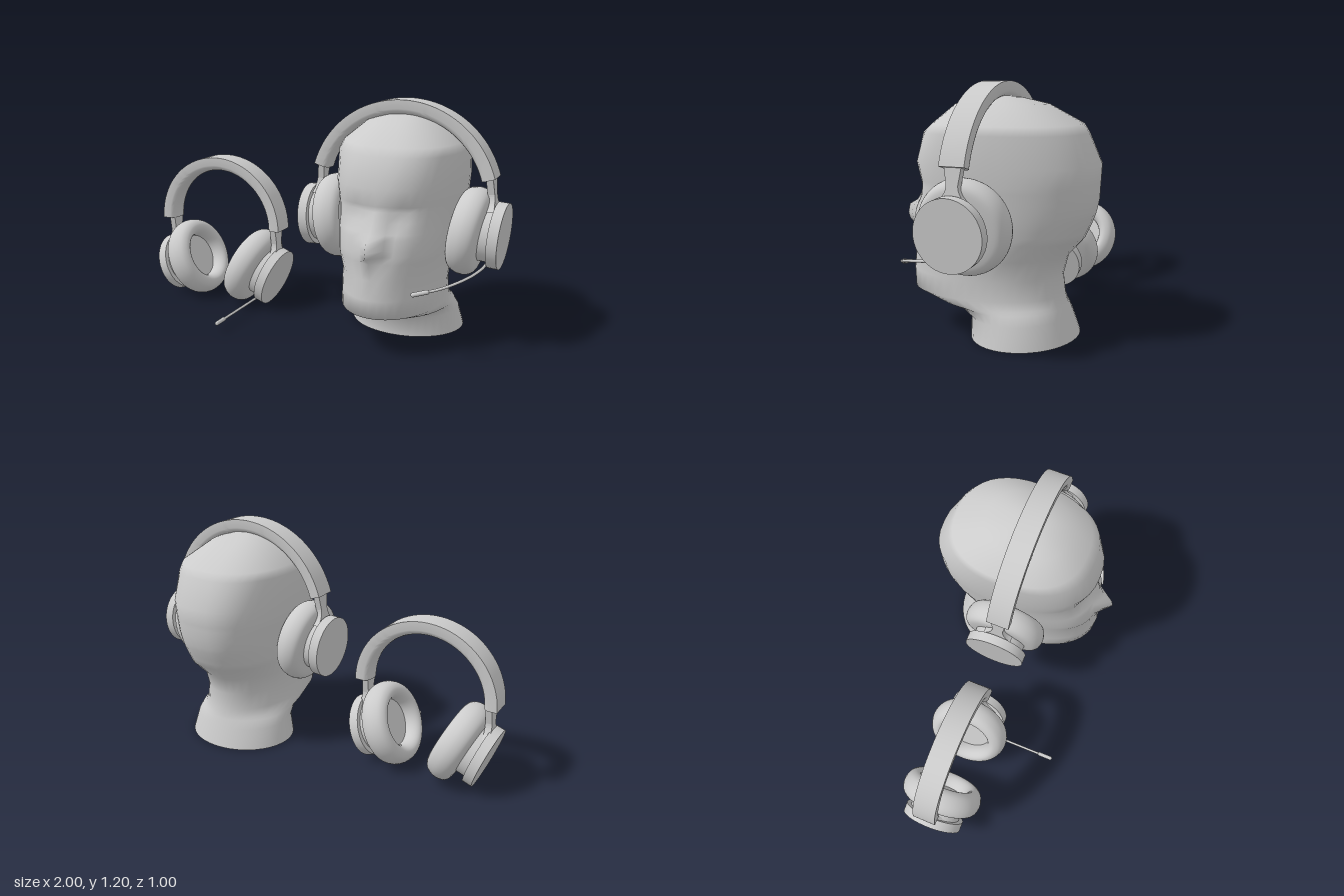
import * as THREE from 'three';
import { toCreasedNormals } from 'three/addons/utils/BufferGeometryUtils.js';

const grey = new THREE.MeshStandardMaterial({ color: 0xcccccc, side: THREE.DoubleSide });
const RAD = Math.PI / 180;

function mesh(name, geometry, parent) {
  const m = new THREE.Mesh(geometry, grey);
  m.name = name;
  parent.add(m);
  return m;
}

// Horizontal superellipse sections: [y, front z, back z, half width, nose bump]
function loft(rows, segments = 40) {
  const pos = [], index = [];
  rows.forEach(([y, zf, zb, hw, nose = 0], i) => {
    const e = y < 0.45 ? 1 : 2 / 2.4;
    for (let j = 0; j < segments; j++) {
      const t = (j / segments) * Math.PI * 2;
      const bend = v => (Math.abs(v) < 1e-6 ? 0 : Math.sign(v) * Math.abs(v) ** e);
      const x = hw * bend(Math.sin(t));
      let z = (zf + zb) / 2 + ((zf - zb) / 2) * bend(Math.cos(t));
      if (j === 0) z += nose;
      // shallow eye sockets
      if (Math.cos(t) > 0) z -= 0.025 * Math.exp(-(((Math.abs(x) - 0.11) / 0.05) ** 2) - ((y - 0.69) / 0.05) ** 2);
      pos.push(x, y, z);
      if (i < rows.length - 1) {
        const a = i * segments + j, b = i * segments + (j + 1) % segments;
        index.push(a, b, b + segments, a, b + segments, a + segments);
      }
    }
  });
  const g = new THREE.BufferGeometry();
  g.setAttribute('position', new THREE.Float32BufferAttribute(pos, 3));
  g.setIndex(index);
  g.computeVertexNormals();
  return g;
}

function makeHead() {
  const head = new THREE.Group();
  head.name = 'mannequinHead';
  const rows = [
    [0, 0.115, -0.395, 0.3], [0.105, 0.115, -0.36, 0.275], [0.15, 0.19, -0.345, 0.262],
    [0.165, 0.3, -0.34, 0.258], [0.205, 0.435, -0.33, 0.255], [0.295, 0.44, -0.32, 0.25],
    [0.39, 0.428, -0.345, 0.255], [0.475, 0.425, -0.42, 0.265, 0.02], [0.51, 0.422, -0.435, 0.27, 0.068],
    [0.54, 0.418, -0.45, 0.275, 0.082], [0.585, 0.41, -0.468, 0.28, 0.08], [0.61, 0.4, -0.475, 0.283, 0.045],
    [0.66, 0.385, -0.486, 0.288, 0.028], [0.71, 0.375, -0.488, 0.295, 0.006], [0.735, 0.375, -0.49, 0.298],
    [0.82, 0.39, -0.495, 0.305], [0.96, 0.345, -0.43, 0.307], [1.0, 0.3, -0.405, 0.293],
    [1.09, 0.195, -0.24, 0.18], [1.12, 0.07, -0.11, 0.08], [1.13, -0.02, -0.02, 0],
  ];
  mesh('headSurface', loft(rows), head);
  mesh('neckBase', loft([[0, -0.14, -0.14, 0], rows[0]]), head);
  return head;
}

// Band: flat outside, padded inside, swept around an arc
function makeBand(R, halfAngle) {
  const band = new THREE.Group();
  band.name = 'headband';
  const s = new THREE.Shape();
  s.moveTo(R, -0.06);
  s.lineTo(R, 0.06);
  s.lineTo(R - 0.045, 0.06);
  s.quadraticCurveTo(R - 0.075, 0.055, R - 0.078, 0);
  s.quadraticCurveTo(R - 0.075, -0.055, R - 0.045, -0.06);
  s.lineTo(R, -0.06);
  const arc = new THREE.LatheGeometry(s.getPoints(6), 48, -halfAngle, 2 * halfAngle);
  mesh('bandArc', toCreasedNormals(arc.rotateX(-Math.PI / 2), 0.6), band);
  for (const side of [-1, 1]) {
    const cap = new THREE.ShapeGeometry(s, 6).rotateX(-Math.PI / 2);
    mesh('bandEnd', cap.rotateZ(Math.PI / 2 - side * halfAngle), band);
  }
  return band;
}

// Ear cup, local +x pointing outward
function makeCup() {
  const cup = new THREE.Group();
  cup.name = 'earCup';
  const disc = (name, r, from, to, parent) => {
    const g = new THREE.CylinderGeometry(r, r, to - from, 48);
    return mesh(name, g.translate(0, (from + to) / 2, 0).rotateZ(-Math.PI / 2), parent);
  };
  disc('outerCap', 0.163, 0.115, 0.166, cup);
  disc('capNeck', 0.138, 0.04, 0.118, cup);
  const pad = new THREE.Group();
  pad.name = 'earPad';
  pad.rotation.z = -4.5 * RAD;
  cup.add(pad);
  const profile = new THREE.SplineCurve([
    [0.125, 0.02], [0.125, -0.03], [0.142, -0.062], [0.17, -0.072], [0.203, -0.052],
    [0.22, -0.005], [0.212, 0.04], [0.185, 0.065], [0.13, 0.072],
  ].map(p => new THREE.Vector2(...p)));
  mesh('cushion', new THREE.LatheGeometry(profile.getPoints(32), 48).rotateZ(-Math.PI / 2), pad);
  disc('speakerPlate', 0.13, 0.0, 0.07, pad);
  return cup;
}

// Flat arm that flares at both ends; y runs upward from the cup
function armGeometry() {
  const s = new THREE.Shape();
  s.moveTo(-0.075, 0);
  s.quadraticCurveTo(-0.03, 0.03, -0.028, 0.075);
  s.lineTo(-0.045, 0.18);
  s.lineTo(0.045, 0.18);
  s.lineTo(0.028, 0.075);
  s.quadraticCurveTo(0.03, 0.03, 0.075, 0);
  const g = new THREE.ExtrudeGeometry(s, { depth: 0.034, bevelEnabled: false, curveSegments: 8 });
  return g.translate(0, 0, -0.017).rotateY(Math.PI / 2);
}

function makeHeadset({ name, x, bandY, R, halfAngle, cup, tilt, armFrom, armTo }) {
  const set = new THREE.Group();
  set.name = name;
  set.position.x = x;
  const band = makeBand(R, halfAngle * RAD);
  band.position.y = bandY;
  set.add(band);
  for (const side of ['left', 'right']) {
    const half = new THREE.Group();
    half.name = side + 'Side';
    if (side === 'right') half.rotation.y = Math.PI;
    const c = makeCup();
    c.position.set(...cup, 0);
    c.rotation.z = -tilt * RAD;
    const arm = mesh('cupArm', armGeometry(), half);
    arm.position.set(...armFrom, 0);
    arm.rotation.z = Math.atan2(armFrom[0] - armTo[0], armTo[1] - armFrom[1]);
    half.add(c);
    set.add(half);
  }
  return set;
}

// Microphone boom with a thicker tip over the last stretch
function makeMic(points, tipStart) {
  const mic = new THREE.Group();
  mic.name = 'microphone';
  const curve = new THREE.CatmullRomCurve3(points.map(p => new THREE.Vector3(...p)));
  mesh('boom', new THREE.TubeGeometry(curve, 32, 0.007, 10), mic);
  const a = curve.getPointAt(tipStart), b = curve.getPointAt(1);
  const tip = mesh('micTip', new THREE.CapsuleGeometry(0.011, a.distanceTo(b) - 0.012, 4, 12), mic);
  tip.position.copy(a).lerp(b, 0.5);
  tip.quaternion.setFromUnitVectors(new THREE.Vector3(0, 1, 0), b.clone().sub(a).normalize());
  return mic;
}

export function createModel() {
  const model = new THREE.Group();
  model.name = 'headsetsWithHead';
  const head = makeHead();
  head.position.x = 0.47;
  model.add(head);
  model.add(makeHeadset({
    name: 'wornHeadset', x: 0.474, bandY: 0.705, R: 0.49, halfAngle: 73.4,
    cup: [0.352, 0.57], tilt: 3.8, armFrom: [0.457, 0.69], armTo: [0.436, 0.87],
  }));
  model.add(makeHeadset({
    name: 'restingHeadset', x: -0.6, bandY: 0.44, R: 0.383, halfAngle: 90,
    cup: [0.187, 0.212], tilt: 19.5, armFrom: [0.34, 0.285], armTo: [0.335, 0.465],
  }));
  model.add(makeMic([
    [0.925, 0.43, 0.04], [0.92, 0.425, 0.14], [0.88, 0.408, 0.25], [0.79, 0.377, 0.345], [0.665, 0.342, 0.395],
  ], 0.84));
  model.add(makeMic([[-0.353, 0.045, 0], [-0.353, 0.045, 0.2], [-0.353, 0.045, 0.485]], 0.84));
  return model;
}
